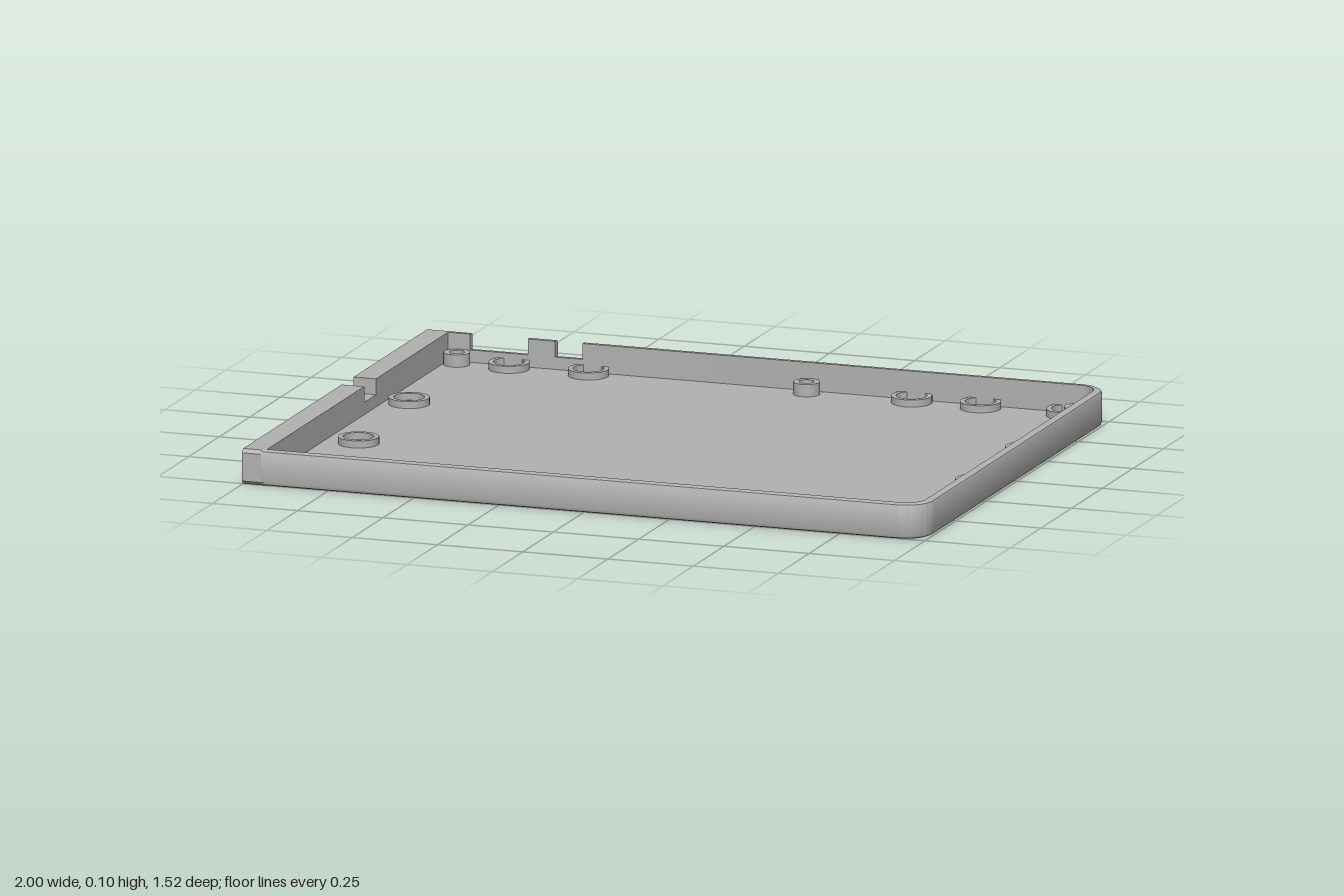
import * as THREE from 'three';
import { toCreasedNormals } from 'three/addons/utils/BufferGeometryUtils.js';

const HALF_Z = 0.76, HEIGHT = 0.1, FLOOR = 0.02, CORNER = 0.08, WALL = 0.023;
const BAR_IN = -0.934; // inner face of the thick end bar
const CX = 1 - CORNER, CZ = HALF_Z - CORNER; // centre of the rounded corners

// Stations along the thin wall: position, outward direction and wall height
function wallStations() {
  const list = [];
  const add = (x, z, nx, nz, h = HEIGHT) => list.push({ x, z, nx, nz, h });
  add(BAR_IN - 0.01, -HALF_Z, 0, -1);
  for (const [a, b] of [[-0.87, -0.7], [-0.62, -0.54]]) { // port cut-outs
    add(a, -HALF_Z, 0, -1);
    add(a, -HALF_Z, 0, -1, 0.055);
    add(b, -HALF_Z, 0, -1, 0.055);
    add(b, -HALF_Z, 0, -1);
  }
  for (const side of [-1, 1]) {
    for (let i = 0; i <= 12; i++) {
      const t = (side < 0 ? i - 12 : i) / 12 * Math.PI / 2;
      const nx = Math.cos(t), nz = Math.sin(t);
      add(CX + CORNER * nx, side * CZ + CORNER * nz, nx, nz);
    }
  }
  add(BAR_IN - 0.01, HALF_Z, 0, 1);
  return list;
}

// Sweep of the wall section (inset, height) along the stations
function wallGeometry(stations) {
  const section = (h) => [
    [0.012, 0], [0.0035, 0.0035], [0, 0.012], [0, h - 0.01], [0.003, h - 0.003],
    [0.01, h], [WALL, h], [WALL, FLOOR - 0.002],
  ];
  const n = section(HEIGHT).length, pos = [], index = [];
  stations.forEach((s, i) => {
    section(s.h).forEach(([d, y], j) => {
      pos.push(s.x - s.nx * d, y, s.z - s.nz * d);
      if (i < stations.length - 1 && j < n - 1) {
        const a = i * n + j, b = a + n;
        index.push(a, a + 1, b, a + 1, b + 1, b);
      }
    });
  });
  const g = new THREE.BufferGeometry();
  g.setAttribute('position', new THREE.Float32BufferAttribute(pos, 3));
  g.setIndex(index);
  return toCreasedNormals(g, 0.6);
}

function floorGeometry(stations) {
  const pts = stations.map((s) => new THREE.Vector2(s.x - s.nx * 0.012, s.z - s.nz * 0.012));
  const unique = pts.filter((p, i) => i === 0 || p.distanceTo(pts[i - 1]) > 1e-5);
  const g = new THREE.ExtrudeGeometry(new THREE.Shape(unique), { depth: FLOOR, bevelEnabled: false });
  return g.rotateX(Math.PI / 2).translate(0, FLOOR, 0);
}

// Slice of the end bar from x0 to x1, optionally with round holes [z, radius]
function barGeometry(x0, x1, holes) {
  const c = 0.01, h = HEIGHT, w = HALF_Z;
  const outline = [
    [-w + c, 0], [w - c, 0], [w, c], [w, h - c], [w - c, h],
    [0.15, h], [0.15, 0.055], [0.055, 0.055], [0.055, h],
    [-w + c, h], [-w, h - c], [-w, c],
  ];
  const shape = new THREE.Shape(outline.map(([x, y]) => new THREE.Vector2(x, y)));
  for (const [z, r] of holes) {
    shape.holes.push(new THREE.Path().absarc(-z, 0.047, r, 0, Math.PI * 2, true));
  }
  const g = new THREE.ExtrudeGeometry(shape, { depth: x1 - x0, bevelEnabled: false, curveSegments: 16 });
  return toCreasedNormals(g.rotateY(Math.PI / 2).translate(x0, 0, 0), 0.6);
}

// Raised ring on the floor, trimmed so that it ends inside the thin wall
function ringGeometry(x, z, outer, inner, height) {
  const y0 = FLOOR - 0.002, y1 = FLOOR + height;
  const profile = [[outer, y0], [outer, y1], [inner, y1], [inner, y0]];
  const g = new THREE.LatheGeometry(profile.map(([r, y]) => new THREE.Vector2(r, y)), 36);
  g.translate(x, 0, z);
  const p = g.attributes.position, limit = CORNER - 0.014;
  for (let i = 0; i < p.count; i++) {
    let px = Math.min(p.getX(i), CX + limit);
    let pz = THREE.MathUtils.clamp(p.getZ(i), -CZ - limit, CZ + limit);
    const dx = px - CX, dz = Math.abs(pz) - CZ, d = Math.hypot(dx, dz);
    if (dx > 0 && dz > 0 && d > limit) {
      px = CX + dx * limit / d;
      pz = Math.sign(pz) * (CZ + dz * limit / d);
    }
    p.setX(i, px);
    p.setZ(i, pz);
  }
  return toCreasedNormals(g, 0.6);
}

export function createModel() {
  const group = new THREE.Group();
  const grey = new THREE.MeshStandardMaterial({ color: 0xb2b2b2, side: THREE.DoubleSide });
  grey.name = 'grey';
  const add = (name, geometry) => {
    const mesh = new THREE.Mesh(geometry, grey);
    mesh.name = name;
    group.add(mesh);
  };

  // Tray
  const stations = wallStations();
  add('thinWall', wallGeometry(stations));
  add('floorPlate', floorGeometry(stations));

  // Thick end bar with blind holes in its outer face
  const holes = [[-0.62, 0.036], [0, 0.036], [0.63, 0.036], [-0.3, 0.014], [0.36, 0.014]];
  add('endBarOuter', barGeometry(-1, -0.955, holes));
  add('endBarInner', barGeometry(-0.955, BAR_IN, []));

  // Wide magnet seats
  const seats = [
    [-0.743, -0.703], [-0.51, -0.703], [0.438, -0.703], [0.64, -0.703], [0.893, -0.703],
    [-0.861, -0.217], [-0.834, 0.27], [0.938, -0.243], [0.938, 0.163],
    [-0.714, 0.714], [0.152, 0.695], [0.508, 0.695], [0.858, 0.695],
  ];
  for (const [x, z] of seats) add('ringSeat', ringGeometry(x, z, 0.057, 0.043, 0.02));

  // Screw bosses
  const bosses = [
    [-0.896, -0.703], [0.131, -0.7], [0.933, -0.677],
    [0.235, 0.596], [0.775, 0.636], [-0.896, 0.663],
  ];
  for (const [x, z] of bosses) add('screwBoss', ringGeometry(x, z, 0.037, 0.021, 0.035));

  return group;
}
